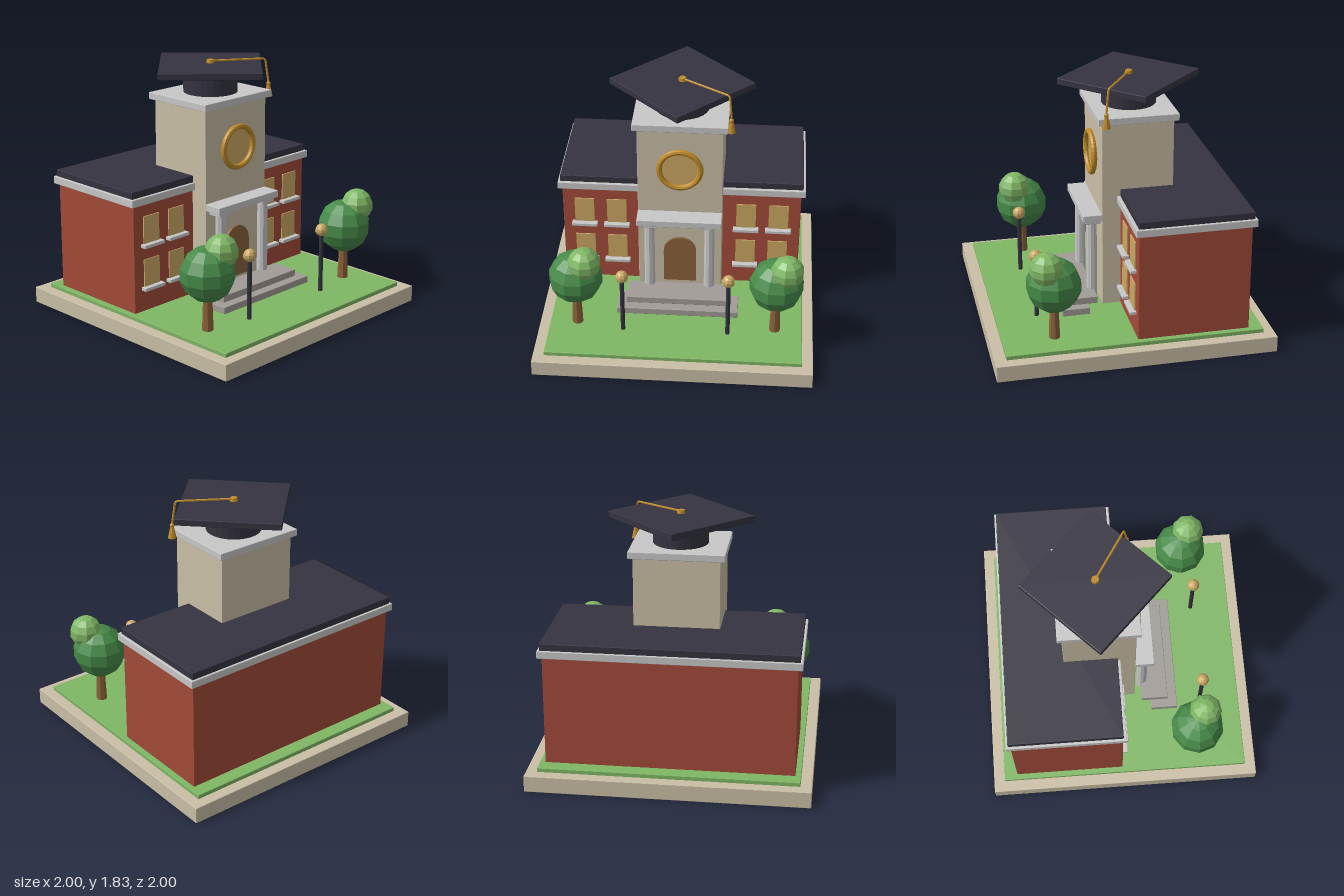
import * as THREE from 'three';
import { RoundedBoxGeometry } from 'three/addons/geometries/RoundedBoxGeometry.js';

const paint = (name, color, flatShading = false) => {
  const m = new THREE.MeshStandardMaterial({ color, flatShading });
  m.name = name;
  return m;
};

export function createModel() {
  const stone = paint('sandstone', 0xcabfa6, true);
  const grass = paint('light green', 0x7fb765, true);
  const brick = paint('red brick', 0xa34b39, true);
  const trim = paint('pale trim', 0xc8c8c8, true);
  const stepGrey = paint('step grey', 0xa19c96, true);
  const navy = paint('dark navy', 0x343340, true);
  const amber = paint('amber glass', 0xcba864, true);
  const gold = paint('gold', 0xc08c28, true);
  const brown = paint('wood brown', 0x8b623a, true);
  const leaf = paint('deep green', 0x468a48, true);

  const model = new THREE.Group();
  model.name = 'schoolhouse';

  const add = (name, geometry, material, x = 0, y = 0, z = 0, parent = model) => {
    const mesh = new THREE.Mesh(geometry, material);
    mesh.name = name;
    mesh.position.set(x, y, z);
    parent.add(mesh);
    return mesh;
  };
  // Softly bevelled block given by its extents
  const block = (name, mat, [x0, x1], [y0, y1], [z0, z1], parent = model) =>
    add(name, new RoundedBoxGeometry(x1 - x0, y1 - y0, z1 - z0, 1, 0.004), mat,
      (x0 + x1) / 2, (y0 + y1) / 2, (z0 + z1) / 2, parent);
  const group = (name, x = 0, y = 0, z = 0) => {
    const g = new THREE.Group();
    g.name = name;
    g.position.set(x, y, z);
    model.add(g);
    return g;
  };

  // Ground
  block('base', stone, [-1, 1], [0, 0.12], [-1, 1]);
  block('lawn', grass, [-0.92, 0.92], [0.115, 0.15], [-0.92, 0.92]);

  // Main hall
  block('hallWalls', brick, [-0.88, 0.88], [0.145, 0.95], [-0.82, -0.015]);
  block('hallCornice', trim, [-0.91, 0.91], [0.945, 1.0], [-0.848, 0.01]);
  block('hallRoof', navy, [-0.892, 0.892], [0.995, 1.05], [-0.832, -0.012]);

  // Windows with sills, two rows each side of the tower
  for (const x of [-0.72, -0.48, 0.48, 0.72]) {
    for (const y of [0.32, 0.64]) {
      add('window', new THREE.BoxGeometry(0.145, 0.21, 0.009), amber, x, y + 0.11, -0.0105);
      block('windowSill', trim, [x - 0.095, x + 0.095], [y - 0.012, y + 0.014], [-0.02, 0.03]);
    }
  }

  // Tower
  block('tower', stone, [-0.308, 0.308], [0.145, 1.55], [-0.4, 0.12]);
  block('towerCap', trim, [-0.34, 0.34], [1.548, 1.6], [-0.43, 0.15]);

  // Round tower dial
  const dial = group('dial', 0, 1.235, 0.12);
  add('dialFace', new THREE.CylinderGeometry(0.145, 0.145, 0.009, 32), amber, 0, 0, 0.0045, dial).rotation.x = Math.PI / 2;
  add('dialRing', new THREE.TorusGeometry(0.149, 0.021, 8, 36), gold, 0, 0, 0.024, dial);

  // Arched door
  const arch = new THREE.Shape();
  arch.moveTo(-0.12, 0);
  arch.lineTo(0.12, 0);
  arch.lineTo(0.12, 0.265);
  arch.absarc(0, 0.265, 0.12, 0, Math.PI, false);
  arch.closePath();
  add('door', new THREE.ExtrudeGeometry(arch, { depth: 0.02, bevelEnabled: false, curveSegments: 10 }), brown, 0, 0.248, 0.118);

  // Porch
  block('lowerStep', stepGrey, [-0.445, 0.445], [0.148, 0.2], [0.24, 0.44]);
  block('upperStep', stepGrey, [-0.38, 0.38], [0.198, 0.25], [0.17, 0.37]);
  block('entablature', trim, [-0.308, 0.308], [0.81, 0.862], [0.115, 0.258]);
  for (const x of [-0.22, 0.22]) {
    add('column', new THREE.CylinderGeometry(0.038, 0.04, 0.635, 10), trim, x, 0.4675, 0.18);
    block('capital', trim, [x - 0.06, x + 0.06], [0.78, 0.812], [0.125, 0.235]);
  }

  // Graduation cap on the tower
  const cap = group('graduationCap', 0, 1.6, -0.14);
  add('capBand', new THREE.CylinderGeometry(0.198, 0.198, 0.17, 28), navy, 0, 0.08, 0, cap);
  add('capBoard', new RoundedBoxGeometry(0.735, 0.048, 0.735, 1, 0.004), navy, 0, 0.184, 0, cap).rotation.y = Math.PI / 4;
  add('capButton', new THREE.CylinderGeometry(0.026, 0.03, 0.024, 8), gold, 0, 0.22, 0, cap);
  const cord = new THREE.CurvePath();
  const knots = [[0, 0.222, 0], [0.335, 0.22, 0.215], [0.345, 0.208, 0.222], [0.36, 0.04, 0.24]]
    .map((p) => new THREE.Vector3(...p));
  for (let i = 1; i < knots.length; i++) cord.add(new THREE.LineCurve3(knots[i - 1], knots[i]));
  add('tasselCord', new THREE.TubeGeometry(cord, 40, 0.008, 6), gold, 0, 0, 0, cap);
  add('tasselKnot', new THREE.SphereGeometry(0.017, 8, 6), gold, 0.36, 0.035, 0.24, cap);
  add('tassel', new THREE.CylinderGeometry(0.012, 0.031, 0.09, 8), gold, 0.36, -0.015, 0.24, cap);

  // Trees
  for (const x of [-0.72, 0.72]) {
    const tree = group('tree', x, 0.148, 0.55);
    add('trunk', new THREE.CylinderGeometry(0.03, 0.04, 0.3, 8), brown, 0, 0.15, 0, tree);
    add('crown', new THREE.SphereGeometry(0.197, 10, 7), leaf, 0, 0.413, 0, tree);
    add('upperCrown', new THREE.SphereGeometry(0.121, 9, 7), grass, 0.073, 0.571, 0.06, tree);
  }

  // Lamps
  for (const x of [-0.38, 0.38]) {
    const lamp = group('lamp', x, 0.148, 0.62);
    add('lampPost', new THREE.CylinderGeometry(0.016, 0.016, 0.44, 8), navy, 0, 0.22, 0, lamp);
    add('lampGlobe', new THREE.SphereGeometry(0.047, 9, 7), amber, 0, 0.475, 0, lamp);
  }

  return model;
}
